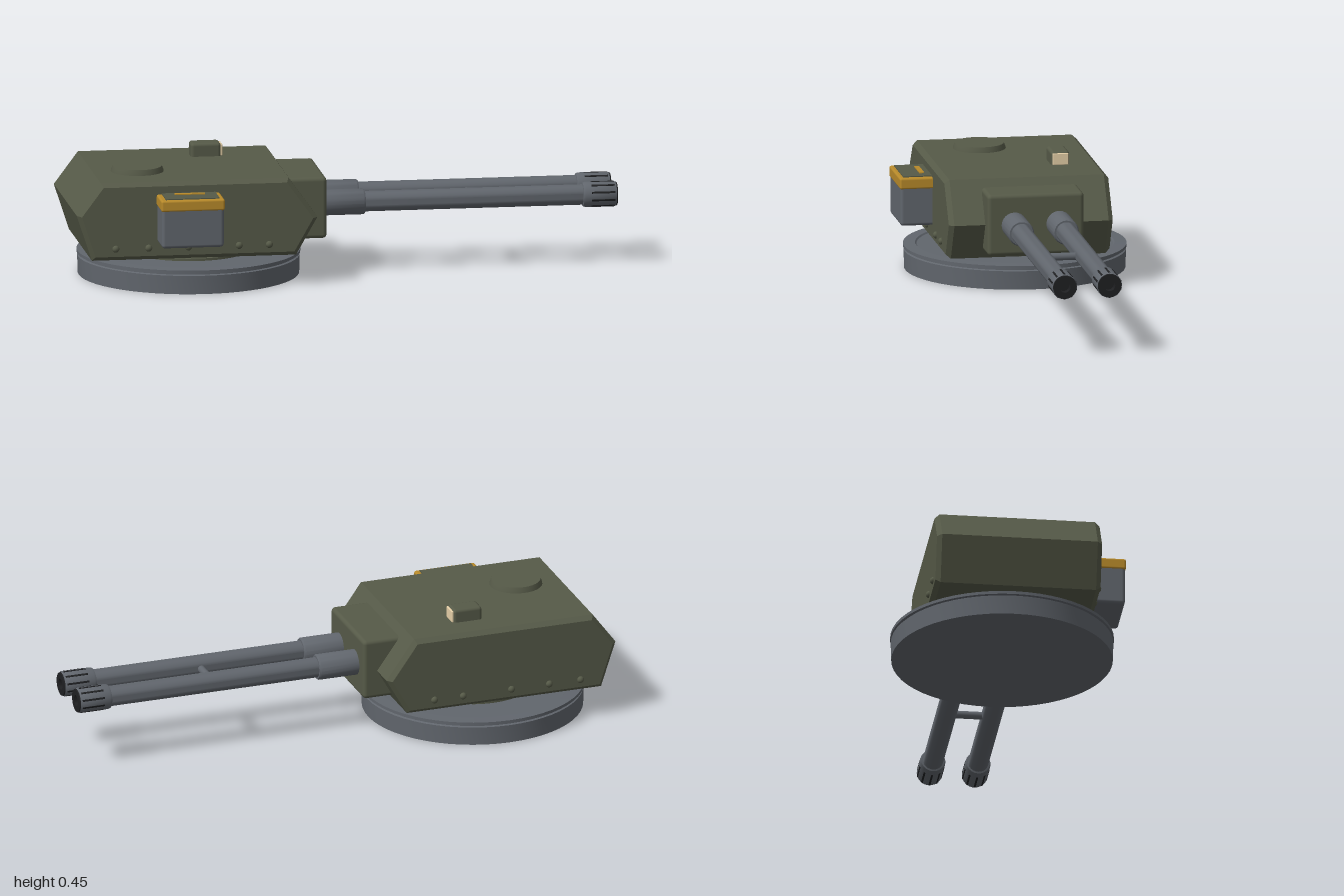
import * as THREE from 'three';
import { RoundedBoxGeometry } from 'three/addons/geometries/RoundedBoxGeometry.js';
import { toCreasedNormals } from 'three/addons/utils/BufferGeometryUtils.js';

function material(name, color) {
  const m = new THREE.MeshStandardMaterial({ color });
  m.name = name;
  return m;
}

export function createModel() {
  const olive = material('olive armour', 0x565a48);
  const steel = material('gunmetal', 0x61666d);
  const black = material('black', 0x1f2022);
  const gold = material('ochre', 0xb88a2a);
  const cream = material('lens cream', 0xe6d0a8);

  const model = new THREE.Group();
  model.name = 'twinGunTurret';

  const add = (parent, name, geo, mat, x = 0, y = 0, z = 0) => {
    const mesh = new THREE.Mesh(geo, mat);
    mesh.name = name;
    mesh.position.set(x, y, z);
    parent.add(mesh);
    return mesh;
  };
  const lathe = (points, sides) => toCreasedNormals(
    new THREE.LatheGeometry(points.map(([r, y]) => new THREE.Vector2(r, y)), sides), 0.6);
  // Lathe profile given as [radius, x], turned to lie along x
  const barrelLathe = (points, sides) => lathe(points, sides).rotateZ(-Math.PI / 2);

  // Round base with a grooved flange and a recessed deck
  add(model, 'base', lathe([[0, 0], [0.4, 0], [0.402, 0.068], [0.394, 0.071], [0.394, 0.075],
    [0.404, 0.077], [0.404, 0.088], [0.36, 0.09], [0.355, 0.085], [0, 0.085]], 56), steel, -0.549, 0, -0.012);
  add(model, 'turretRing', lathe([[0.225, 0.085], [0.225, 0.094], [0.208, 0.096], [0.208, 0.118], [0, 0.118]], 40),
    olive, -0.549, 0, -0.012);

  // Armoured body: side profile with chamfered flanks
  const profile = new THREE.Shape([[-0.945, 0.113], [-0.2, 0.113], [-0.122, 0.25], [-0.228, 0.398],
    [-0.912, 0.398], [-1, 0.28]].map(([x, y]) => new THREE.Vector2(x, y)));
  add(model, 'body', new THREE.ExtrudeGeometry(profile, {
    depth: 0.565, bevelEnabled: true, bevelSegments: 1,
    bevelThickness: 0.0175, bevelSize: 0.015, bevelOffset: -0.015,
  }), olive, 0, 0, -0.2825);

  // Mantlet that carries the guns
  add(model, 'mantlet', new RoundedBoxGeometry(0.18, 0.226, 0.353, 2, 0.015), olive, -0.16, 0.257, -0.007);

  // Twin guns
  for (const [side, z] of [['left', 0.072], ['right', -0.092]]) {
    const gun = new THREE.Group();
    gun.name = side === 'left' ? 'frontGun' : 'rearGun';
    gun.position.set(0, 0.257, z);
    model.add(gun);
    add(gun, 'sleeve', barrelLathe([[0.047, -0.1], [0.047, 0.074], [0.043, 0.08], [0.03, 0.08]], 24), steel);
    add(gun, 'barrel', barrelLathe([[0.037, 0.06], [0.037, 0.9]], 24), steel);
    add(gun, 'muzzle', barrelLathe([[0.035, 0.874], [0.043, 0.876], [0.046, 0.884], [0.046, 0.99],
      [0.043, 0.997]], 24), steel);
    add(gun, 'muzzleFace', barrelLathe([[0.0435, 0.996], [0.042, 1], [0.02, 1], [0.02, 0.97], [0, 0.97]], 24), black);
    // Slots around the muzzle
    for (let i = 0; i < 10; i++) {
      const a = (i / 10) * Math.PI * 2;
      const slot = add(gun, 'muzzleSlot', new THREE.BoxGeometry(0.085, 0.004, 0.007), black,
        0.947, Math.cos(a) * 0.0448, Math.sin(a) * 0.0448);
      slot.rotation.x = a;
    }
  }
  add(model, 'barrelBrace', new THREE.CylinderGeometry(0.014, 0.014, 0.12, 12).rotateX(Math.PI / 2),
    steel, 0.473, 0.255, -0.01);

  // Roof hatch
  add(model, 'hatch', lathe([[0.097, 0.39], [0.095, 0.402], [0.089, 0.418], [0, 0.418]], 32), olive, -0.75, 0, 0.083);

  // Roof sight with its lens facing the guns
  add(model, 'sight', new RoundedBoxGeometry(0.11, 0.07, 0.068, 2, 0.012), olive, -0.468, 0.412, -0.156);
  add(model, 'sightLens', new RoundedBoxGeometry(0.008, 0.043, 0.058, 2, 0.003), cream, -0.412, 0.4195, -0.156);

  // Ammunition box on the flank
  const box = new THREE.Group();
  box.name = 'ammunitionBox';
  box.position.set(-0.595, 0, 0.35);
  model.add(box);
  add(box, 'boxCase', new RoundedBoxGeometry(0.226, 0.165, 0.134, 2, 0.012), steel, 0, 0.259, 0);
  add(box, 'boxBand', new RoundedBoxGeometry(0.232, 0.042, 0.14, 2, 0.008), gold, 0, 0.333, 0);
  add(box, 'boxLid', new THREE.BoxGeometry(0.196, 0.006, 0.122), olive, 0, 0.3545, -0.006);
  add(box, 'boxHandle', new THREE.BoxGeometry(0.11, 0.005, 0.018), gold, 0, 0.3585, -0.02);

  // Rivets along both lower flanks
  for (const side of [1, -1]) {
    for (const x of [-0.86, -0.74, -0.595, -0.41, -0.3]) {
      const rivet = add(model, 'rivet', new THREE.SphereGeometry(0.013, 10, 8), olive, x, 0.157, side * 0.3);
      rivet.scale.z = 0.9;
    }
  }
  return model;
}
